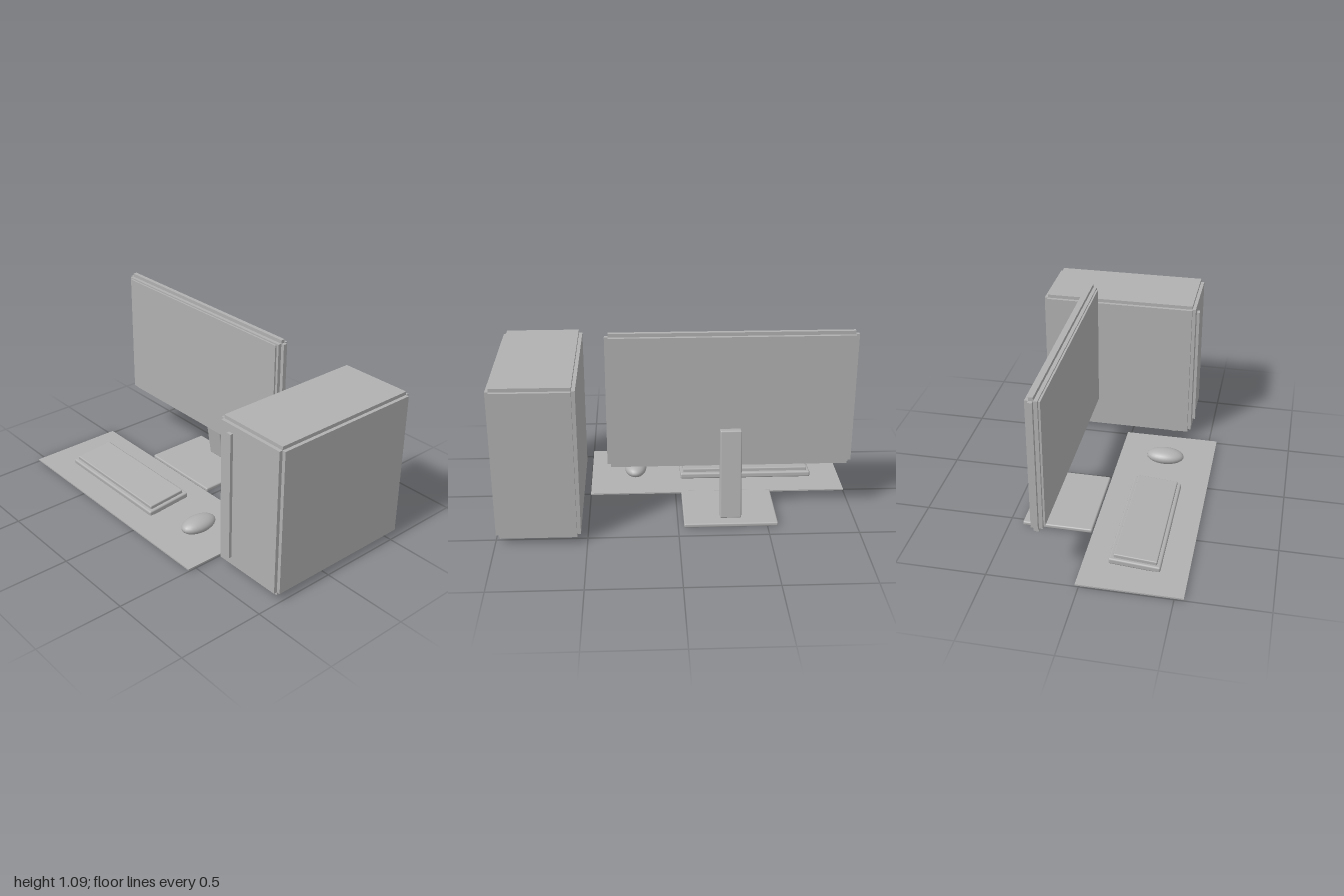
import * as THREE from 'three';
import { RoundedBoxGeometry } from 'three/addons/geometries/RoundedBoxGeometry.js';

export function createModel() {
  const model = new THREE.Group();
  model.name = 'desktopComputer';
  const grey = new THREE.MeshStandardMaterial({ color: 0xb0b0b0 });
  grey.name = 'grey';

  function add(name, geometry, x, y, z, parent = model) {
    const mesh = new THREE.Mesh(geometry, grey);
    mesh.name = name;
    mesh.position.set(x, y, z);
    parent.add(mesh);
    return mesh;
  }
  const box = (w, h, d) => new THREE.BoxGeometry(w, h, d);
  const bevelled = (w, h, d, r) => new RoundedBoxGeometry(w, h, d, 2, r);

  // Case with stepped edges: three crossing blocks, each full size on one axis
  function steppedCase(name, size, step, x, y, z) {
    const group = new THREE.Group();
    group.name = name;
    group.position.set(x, y, z);
    for (let axis = 0; axis < 3; axis++) {
      const s = size.map((v, i) => (i === axis ? v : v - 2 * step));
      add(name + 'Block', box(...s), 0, 0, 0, group);
    }
    model.add(group);
  }

  // Tower with front strip and four feet
  steppedCase('tower', [0.46, 0.88, 0.93], 0.02, 0.765, 0.47, -0.09);
  add('towerFrontStrip', box(0.03, 0.75, 0.025), 0.63, 0.47, 0.38);
  for (const x of [0.61, 0.92]) {
    for (const z of [0.265, -0.44]) {
      add('towerFoot', new THREE.CylinderGeometry(0.033, 0.026, 0.025, 12), x, 0.0175, z);
    }
  }

  // Monitor, screen panel, leaning neck and base plate
  steppedCase('monitor', [1.37, 0.79, 0.064], 0.02, -0.295, 0.693, -0.22);
  add('screen', box(1.3, 0.73, 0.015), -0.295, 0.695, -0.1855);
  const neck = add('standNeck', bevelled(0.12, 0.51, 0.05, 0.008), -0.295, 0.285, -0.3125);
  neck.rotation.x = 0.15;
  add('standBase', bevelled(0.525, 0.024, 0.395, 0.008), -0.295, 0.017, -0.223);

  // Desk mat
  add('deskMat', box(1.5, 0.008, 0.57), -0.25, 0.011, 0.265);

  // Keyboard, raised at the back
  const keyboard = new THREE.Group();
  keyboard.name = 'keyboard';
  keyboard.position.set(-0.428, 0.035, 0.26);
  keyboard.rotation.x = 0.08;
  add('keyboardBody', bevelled(0.786, 0.035, 0.28, 0.01), 0, 0, 0, keyboard);
  add('keyField', bevelled(0.75, 0.035, 0.235, 0.006), 0, 0.021, 0, keyboard);
  model.add(keyboard);

  // Mouse
  const mouseShape = new THREE.SphereGeometry(1, 24, 16).scale(0.067, 0.044, 0.113);
  add('mouse', mouseShape, 0.235, 0.045, 0.262);

  return model;
}
